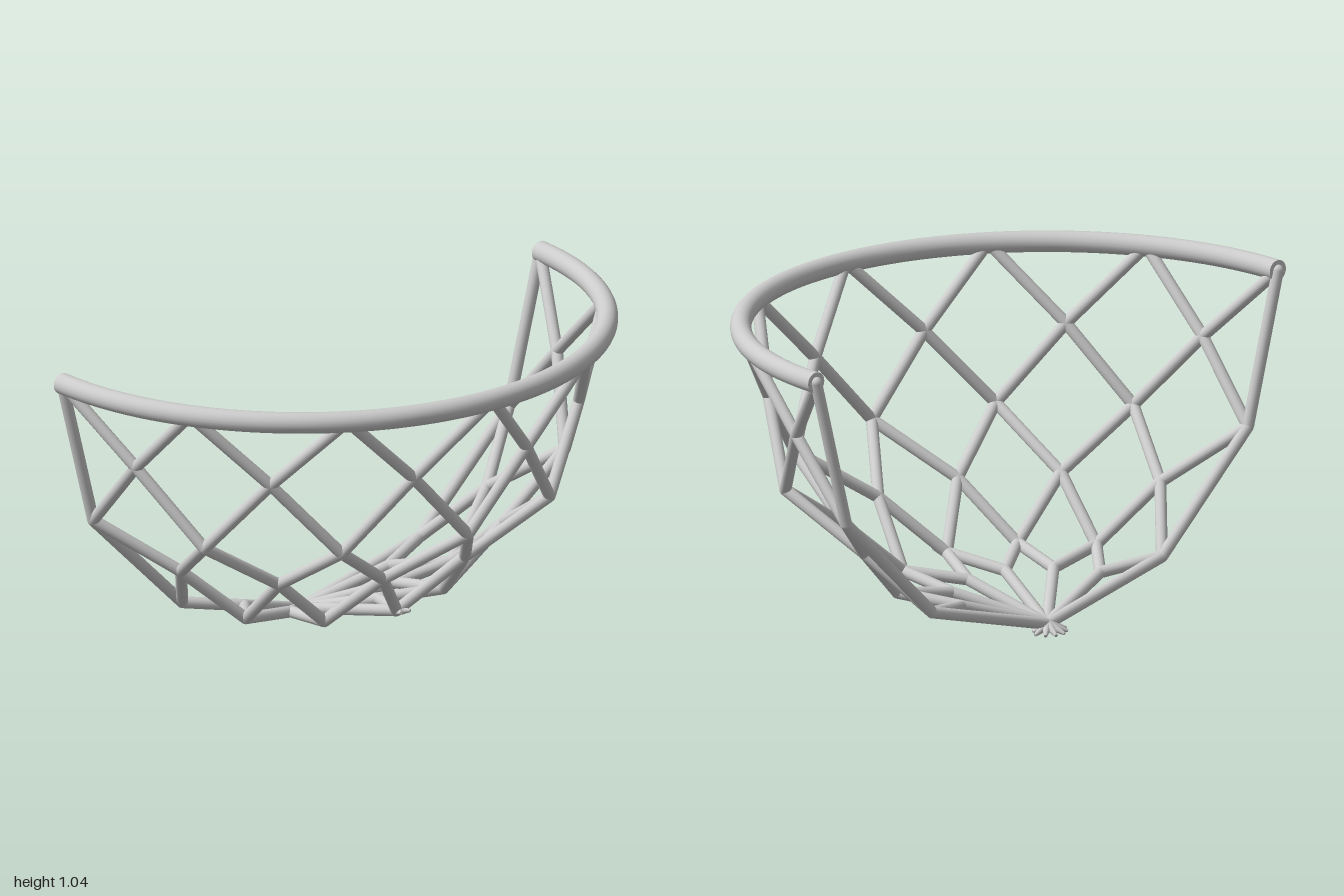
import * as THREE from 'three';

const BACK = -0.465;    // z of the flat back plane
const RIM_R = 0.965, RIM_TUBE = 0.034, BAR = 0.019;

export function createModel() {
  const group = new THREE.Group();
  const material = new THREE.MeshStandardMaterial({ color: 0xcccccc });

  const add = (name, geometry, position) => {
    const mesh = new THREE.Mesh(geometry, material);
    mesh.name = name;
    if (position) mesh.position.copy(position);
    group.add(mesh);
    return mesh;
  };

  // Cylinder between two points
  const up = new THREE.Vector3(0, 1, 0);
  const bar = (name, a, b, rEnd = BAR) => {
    const dir = b.clone().sub(a), len = dir.length();
    const mesh = add(name, new THREE.CylinderGeometry(rEnd, BAR, len, 16), a.clone().lerp(b, 0.5));
    mesh.quaternion.setFromUnitVectors(up, dir.normalize());
  };
  // Short tapered end running past a joint
  const tip = (from, to, length) => {
    const dir = to.clone().sub(from).normalize();
    bar('barTip', to, to.clone().addScaledVector(dir, length), 0.005);
  };

  // Half-ring rim with capped ends
  const rim = new THREE.TorusGeometry(RIM_R, RIM_TUBE, 20, 72, Math.PI);
  rim.rotateX(Math.PI / 2);
  add('rim', rim, new THREE.Vector3(0, 0.998, BACK));
  for (const side of [-1, 1]) {
    const cap = new THREE.CircleGeometry(RIM_TUBE, 20).rotateY(Math.PI);
    add('rimCap', cap, new THREE.Vector3(side * RIM_R, 0.998, BACK));
  }

  // Lattice rings [radius, height]; every second ring is turned by half a step
  const levels = [[RIM_R, 0.998], [0.88, 0.755], [0.84, 0.51], [0.64, 0.335], [0.48, 0.152], [0.3, 0.12]];
  const rings = levels.map(([r, y], level) => {
    const odd = level % 2;
    return Array.from({ length: odd ? 6 : 7 }, (_, i) => {
      const a = (i + odd / 2) * Math.PI / 6;
      return new THREE.Vector3(r * Math.cos(a), y, BACK + r * Math.sin(a));
    });
  });
  const pole = new THREE.Vector3(0, 0.023, BACK);

  // Diagonal bars: each node of an odd ring joins two nodes above and two below
  for (const level of [1, 3, 5]) {
    rings[level].forEach((node, i) => {
      for (const j of [i, i + 1]) {
        bar('latticeBar', rings[level - 1][j], node);
        if (level < 5) bar('latticeBar', node, rings[level + 1][j]);
        else tip(node, rings[4][j], j === 3 ? 0.05 : 0.02);
      }
    });
  }

  // Bars gathering at the bottom, running slightly past it
  for (const node of rings[5]) {
    bar('bottomBar', node, pole);
    tip(node, pole, 0.07);
  }

  // Straight bars along both edges of the open back
  for (const i of [0, 6]) {
    const edge = [rings[0][i], rings[2][i], rings[4][i], pole];
    for (let k = 0; k < 3; k++) bar('backEdgeBar', edge[k], edge[k + 1]);
    tip(edge[2], pole, 0.06);
  }

  // Rounded joints
  for (const node of [...rings.flat(), pole]) add('joint', new THREE.SphereGeometry(BAR, 14, 10), node);

  return group;
}
